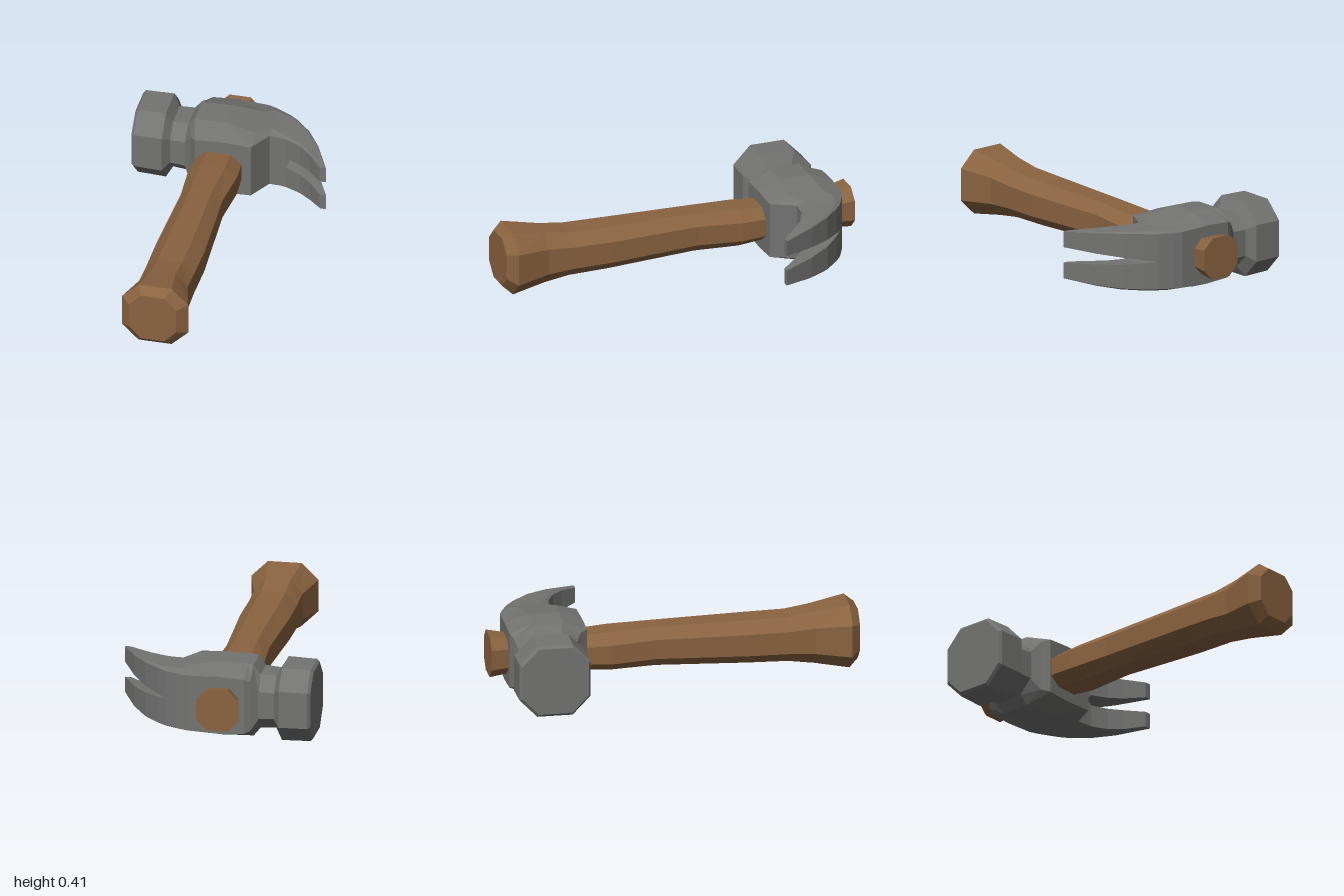
import * as THREE from 'three';

const steel = new THREE.MeshStandardMaterial({ color: 0x737372, flatShading: true });
steel.name = 'steel grey';
const wood = new THREE.MeshStandardMaterial({ color: 0x8a6340, flatShading: true });
wood.name = 'wood brown';

const MID_Y = 0.212;

// Skin a closed solid over rings of [x, y, z] points; flips itself outward if needed
function loft(rings) {
  const tris = [];
  const n = rings[0].length;
  for (let r = 0; r < rings.length - 1; r++) {
    for (let i = 0; i < n; i++) {
      const j = (i + 1) % n;
      const [a, b, c, d] = [rings[r][i], rings[r][j], rings[r + 1][j], rings[r + 1][i]];
      tris.push([a, b, c], [a, c, d]);
    }
  }
  const first = rings[0], last = rings[rings.length - 1];
  for (let i = 1; i < n - 1; i++) {
    tris.push([first[0], first[i + 1], first[i]], [last[0], last[i], last[i + 1]]);
  }
  let volume = 0;
  const v = tris.map((t) => t.map((p) => new THREE.Vector3(...p)));
  v.forEach(([a, b, c]) => { volume += a.dot(b.clone().cross(c)); });
  if (volume < 0) tris.forEach((t) => t.reverse());
  const geo = new THREE.BufferGeometry();
  geo.setAttribute('position', new THREE.Float32BufferAttribute(tris.flat(2), 3));
  geo.computeVertexNormals();
  return geo;
}

// Octagon from two ranges, k = flat share of each side
function octagon(u0, u1, v0, v1, k) {
  const cu = (u0 + u1) / 2, cv = (v0 + v1) / 2, u = (u1 - u0) / 2, v = (v1 - v0) / 2;
  return [[1, k], [k, 1], [-k, 1], [-1, k], [-1, -k], [-k, -1], [k, -1], [1, -k]]
    .map(([a, b]) => [cu + a * u, cv + b * v]);
}

function add(group, name, geometry, material) {
  const mesh = new THREE.Mesh(geometry, material);
  mesh.name = name;
  group.add(mesh);
}

export function createModel() {
  const model = new THREE.Group();
  model.name = 'clawHammer';

  // Handle: z, x range, y range
  const handle = [
    [1.0, -0.19, 0.07, 0.08, 0.355],
    [0.95, -0.24, 0.125, 0.035, 0.39],
    [0.76, -0.19, 0.075, 0.065, 0.357],
    [0.62, -0.19, 0.075, 0.085, 0.335],
    [0.4, -0.19, 0.08, 0.09, 0.33],
    [-0.1, -0.172, 0.058, 0.107, 0.323],
    [-0.35, -0.19, 0.078, 0.1, 0.312],
    [-0.48, -0.183, 0.07, 0.11, 0.302],
    [-0.9, -0.155, 0.04, 0.11, 0.31],
    [-1.0, -0.178, 0.052, 0.1, 0.33],
  ].map(([z, x0, x1, y0, y1]) => octagon(x0, x1, y0, y1, 0.5).map(([x, y]) => [x, y, z]));
  add(model, 'handle', loft(handle), wood);

  // Striking face and neck: x, z range, half height
  const face = [
    [-0.55, -0.9, -0.54, 0.185],
    [-0.535, -0.915, -0.53, 0.2],
    [-0.38, -0.915, -0.525, 0.204],
    [-0.345, -0.865, -0.57, 0.146],
  ];
  const neck = [[-0.345, -0.865, -0.57, 0.146], [-0.25, -0.865, -0.56, 0.152]];
  const across = (rows) => loft(rows.map(([x, z0, z1, h]) =>
    octagon(MID_Y - h, MID_Y + h, z0, z1, 0.5).map(([y, z]) => [x, y, z])));
  add(model, 'strikingFace', across(face), steel);
  add(model, 'neck', across(neck), steel);

  // Body flowing into the claw: back x z, front x z, half height,
  // edge height share, flat share of depth, slot half gap at back and front
  const body = [
    [-0.26, -0.865, -0.26, -0.56, 0.15, 0.55, 0.5, 0, 0],
    [-0.22, -0.89, -0.22, -0.525, 0.2, 0.7, 0.45, 0, 0],
    [-0.19, -0.905, -0.19, -0.485, 0.202, 0.76, 0.4, 0, 0],
    [-0.05, -0.905, -0.05, -0.485, 0.207, 0.78, 0.4, 0, 0],
    [0.12, -0.9, 0.12, -0.485, 0.182, 0.85, 0.5, 0, 0],
    [0.17, -0.88, 0.19, -0.615, 0.172, 0.9, 0.65, 0, 0],
    [0.25, -0.84, 0.255, -0.61, 0.166, 0.92, 0.75, 0, 0],
    [0.3, -0.8, 0.285, -0.605, 0.164, 0.94, 0.8, 0.008, 0.03],
    [0.385, -0.715, 0.37, -0.565, 0.16, 0.95, 0.8, 0.02, 0.032],
    [0.465, -0.595, 0.44, -0.505, 0.15, 0.97, 0.8, 0.03, 0.035],
    [0.55, -0.42, 0.515, -0.42, 0.131, 0.98, 0.8, 0.043, 0.043],
  ];
  // Upper and lower halves mirror each other about the slot
  for (const side of [1, -1]) {
    const rings = body.map(([xb, zb, xf, zf, h, edge, flat, gapB, gapF]) => {
      const at = (t, y) => [xb + (xf - xb) * t, MID_Y + side * y, zb + (zf - zb) * t];
      const t = (1 - flat) / 2;
      return [at(0, gapB), at(0, h * edge), at(t, h), at(1 - t, h), at(1, h * edge), at(1, gapF)];
    });
    add(model, side > 0 ? 'upperBodyAndClaw' : 'lowerBodyAndClaw', loft(rings), steel);
  }
  return model;
}
